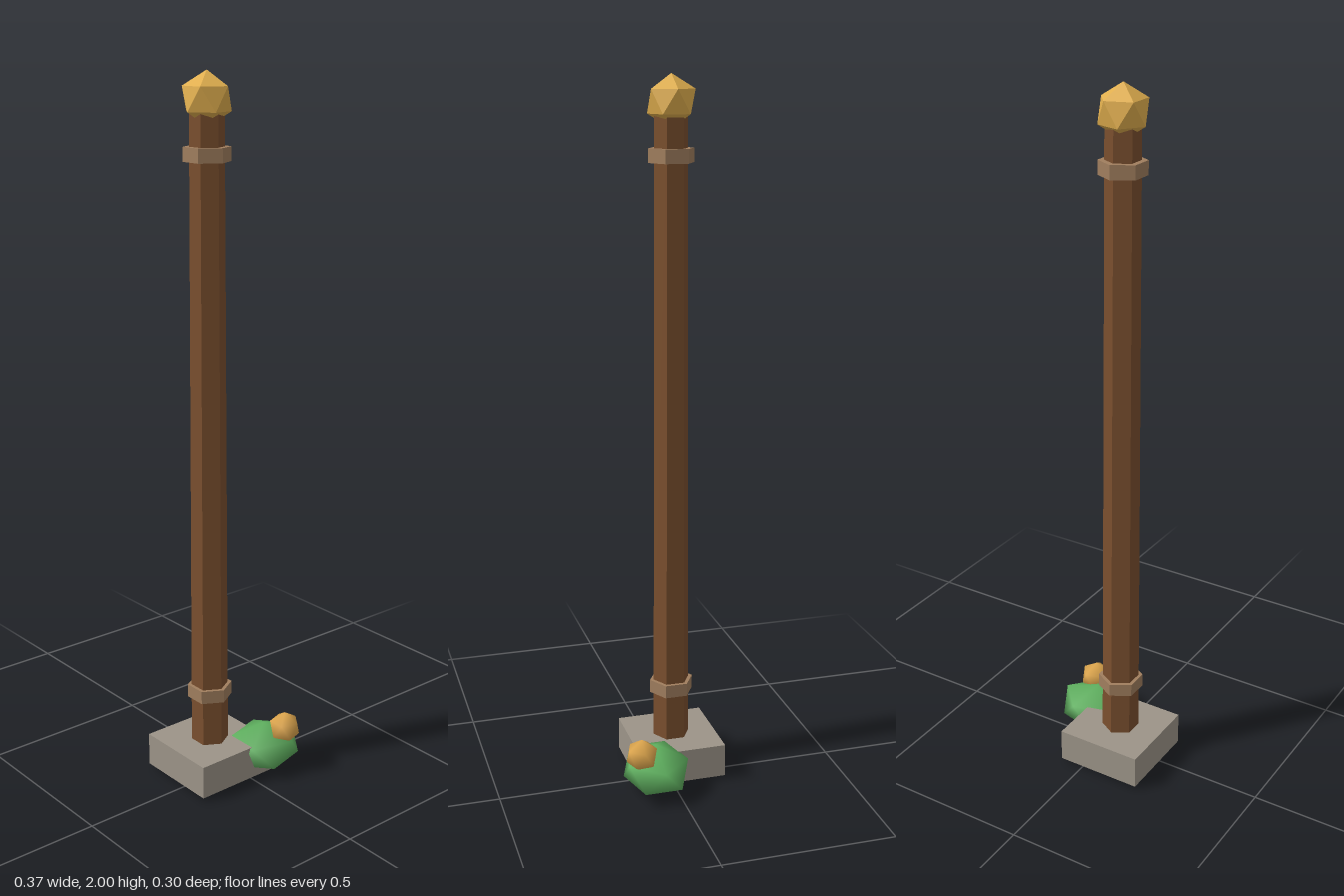
import * as THREE from 'three';
import { mergeVertices } from 'three/addons/utils/BufferGeometryUtils.js';

const POST_X = -0.06, POST_Z = -0.027;

// Icosahedron of unit radius standing on a vertex, faceted or smooth
function icosahedron(smooth) {
  let geo = new THREE.IcosahedronGeometry(1, 0);
  geo.rotateZ(-Math.atan(2 / (1 + Math.sqrt(5))));
  if (smooth) {
    geo.deleteAttribute('normal');
    geo.deleteAttribute('uv');
    geo = mergeVertices(geo, 1e-4);
    geo.computeVertexNormals();
  }
  return geo;
}

export function createModel() {
  const model = new THREE.Group();
  const material = (color, flatShading = true) => new THREE.MeshStandardMaterial({ color, flatShading });

  function add(name, geo, mat, x, y, z) {
    const mesh = new THREE.Mesh(geo, mat);
    mesh.name = name;
    mesh.position.set(x, y, z);
    model.add(mesh);
    return mesh;
  }

  // Stone base
  add('base', new THREE.BoxGeometry(0.255, 0.097, 0.255), material(0x9c9488), POST_X, 0.0595, POST_Z);

  // Tapered six-sided post
  add('post', new THREE.CylinderGeometry(0.0465, 0.0535, 1.8, 6), material(0x7a4f2e), POST_X, 1.0, POST_Z);

  // Two bands around the post
  const bandMaterial = material(0xa07e5e);
  const bandGeometry = new THREE.CylinderGeometry(0.064, 0.064, 0.038, 6);
  for (const [name, y] of [['lowerBand', 0.264], ['upperBand', 1.789]]) {
    add(name, bandGeometry, bandMaterial, POST_X, y, POST_Z);
  }

  // Faceted finial
  add('finial', icosahedron(false), material(0xe0ae4e), POST_X, 1.9285, POST_Z).scale.setScalar(0.0715);

  // Bush with a round blossom beside the base
  add('bush', icosahedron(true), material(0x5fb05f, false), 0.075, 0.0725, 0.058).scale.set(0.123, 0.0725, 0.102);
  add('blossom', icosahedron(true), material(0xe0a84e, false), 0.111, 0.137, 0.109).scale.setScalar(0.048);

  return model;
}
